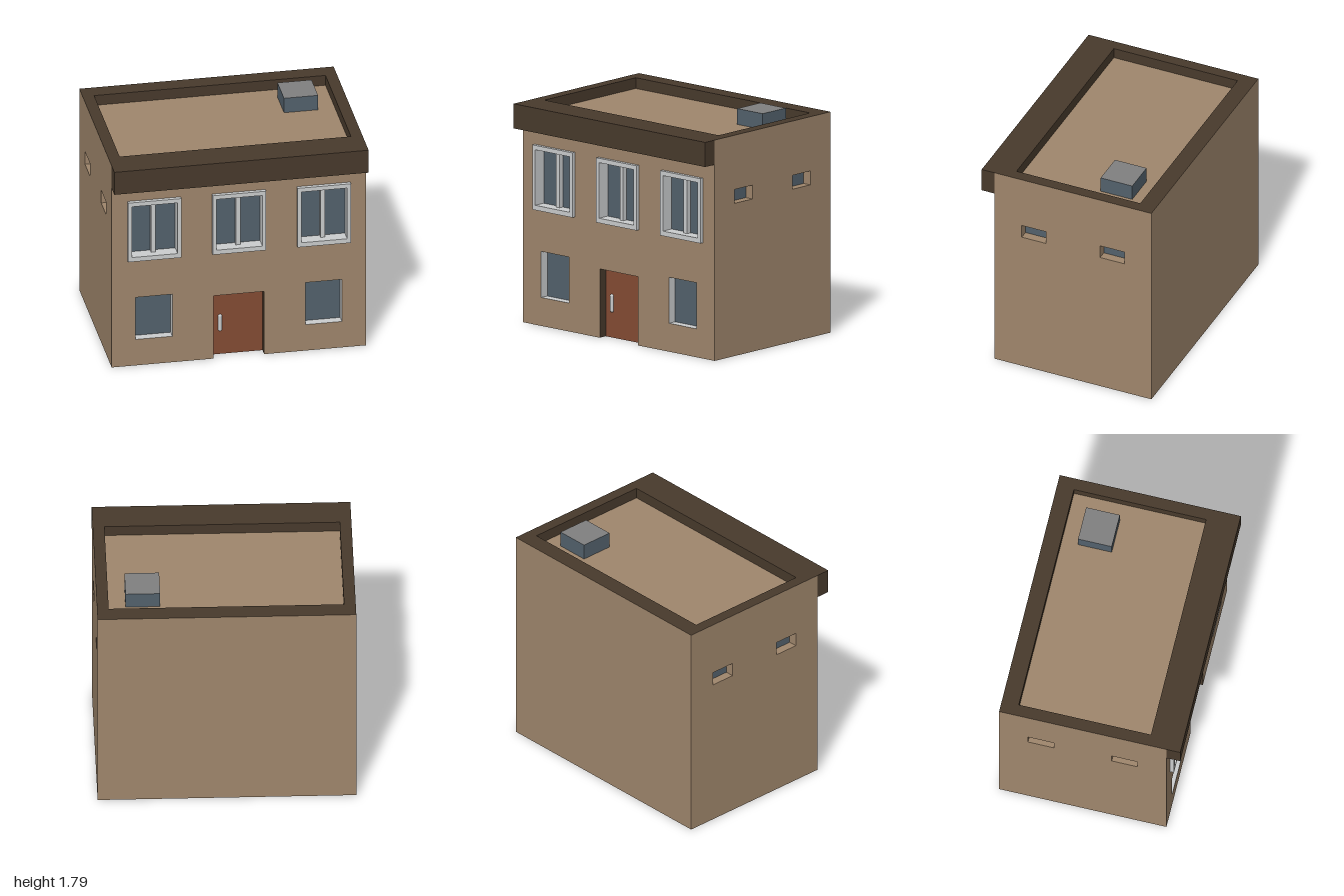
import * as THREE from 'three';

const material = (name, color) => {
  const m = new THREE.MeshStandardMaterial({ color, side: THREE.DoubleSide });
  m.name = name;
  return m;
};

// Rectangles are [x0, y0, x1, y1]
const trace = (path, [x0, y0, x1, y1]) => {
  path.moveTo(x0, y0);
  path.lineTo(x1, y0);
  path.lineTo(x1, y1);
  path.lineTo(x0, y1);
  path.closePath();
  return path;
};
const rectShape = (rect, holes = []) => {
  const shape = trace(new THREE.Shape(), rect);
  holes.forEach((h) => shape.holes.push(trace(new THREE.Path(), h)));
  return shape;
};
const panel = (rect, holes) => new THREE.ShapeGeometry(rectShape(rect, holes));

// Square sleeve lining an opening, from z = -depth to 0; three sides leave the bottom open
const sleeve = ([x0, y0, x1, y1], depth, sides = 4) => {
  const r = Math.SQRT1_2;
  const g = new THREE.CylinderGeometry(r, r, 1, sides, 1, true, Math.PI / 4, sides * Math.PI / 2)
    .rotateX(Math.PI / 2)
    .scale(x1 - x0, y1 - y0, depth)
    .translate((x0 + x1) / 2, (y0 + y1) / 2, -depth / 2)
    .toNonIndexed();
  g.computeVertexNormals();
  return g;
};

export function createModel() {
  const model = new THREE.Group();
  model.name = 'house';

  const wall = material('wall tan', 0x9f866c);
  const dark = material('dark brown trim', 0x483a2c);
  const glass = material('blue grey glass', 0x53616c);
  const wood = material('door brown', 0x844b33);
  const white = material('light grey frame', 0xcbcdce);
  const grey = material('skylight grey', 0x808080);

  const add = (parent, name, geometry, mat, x = 0, y = 0, z = 0) => {
    const mesh = new THREE.Mesh(geometry, mat);
    mesh.name = name;
    mesh.position.set(x, y, z);
    parent.add(mesh);
    return mesh;
  };

  const H = 1.75, FRONT = 0.61, BACK = -0.72, DEPTH = 0.07, ROOF = 1.665;
  const door = [-0.2, 0, 0.2, 0.545];
  const lower = [-1, 1].map((s) => [s * 0.667 - 0.144, 0.225, s * 0.667 + 0.144, 0.59]);
  const upper = [-1, 0, 1].map((s) => [s * 0.667 - 0.18, 0.955, s * 0.667 + 0.18, 1.395]);

  // Front wall, notched at the foot for the door
  const frontShape = new THREE.Shape([
    [-1, 0], [door[0], 0], [door[0], door[3]], [door[2], door[3]],
    [door[2], 0], [1, 0], [1, H], [-1, H],
  ].map(([x, y]) => new THREE.Vector2(x, y)));
  [...lower, ...upper].forEach((r) => frontShape.holes.push(trace(new THREE.Path(), r)));
  add(model, 'frontWall', new THREE.ShapeGeometry(frontShape), wall, 0, 0, FRONT);

  // Back wall
  add(model, 'backWall', panel([-1, 0, 1, H]), wall, 0, 0, BACK).rotation.y = Math.PI;

  // Side walls with two small recessed windows each
  for (const s of [-1, 1]) {
    const side = new THREE.Group();
    side.name = s > 0 ? 'leftSide' : 'rightSide';
    side.position.x = s;
    side.rotation.y = s * Math.PI / 2;
    model.add(side);
    const rect = (z0, y0, z1, y1) => (s > 0 ? [-z1, y0, -z0, y1] : [z0, y0, z1, y1]);
    const slots = [rect(0.175, 1.21, 0.38, 1.32), rect(-0.49, 1.21, -0.285, 1.32)];
    add(side, 'sideWall', panel(rect(BACK, 0, FRONT, H), slots), wall);
    for (const r of slots) {
      add(side, 'slotReveal', sleeve(r, DEPTH), wall);
      add(side, 'slotGlass', panel(r), glass, 0, 0, -DEPTH);
    }
  }

  // Door, its reveal and handle
  add(model, 'doorReveal', sleeve(door, DEPTH, 3), dark, 0, 0, FRONT);
  add(model, 'door', panel(door), wood, 0, 0, FRONT - DEPTH);
  add(model, 'doorHandle', new THREE.CapsuleGeometry(0.016, 0.113, 6, 16), white,
    -0.135, 0.272, FRONT - DEPTH);

  // Windows on the front
  for (const r of [...lower, ...upper]) {
    add(model, 'windowReveal', sleeve(r, DEPTH), white, 0, 0, FRONT);
    add(model, 'windowGlass', panel(r), glass, 0, 0, FRONT - DEPTH);
  }

  // Raised frames and mullions of the upper windows
  for (const r of upper) {
    const [x0, y0, x1, y1] = r;
    const frame = rectShape([x0 - 0.03, y0 - 0.038, x1 + 0.03, y1 + 0.035], [r]);
    add(model, 'windowFrame',
      new THREE.ExtrudeGeometry(frame, { depth: 0.03, bevelEnabled: false }), white, 0, 0, FRONT);
    add(model, 'mullion', new THREE.BoxGeometry(0.036, y1 - y0, 0.04), white,
      (x0 + x1) / 2, (y0 + y1) / 2, FRONT - DEPTH + 0.02);
  }

  // Parapet rim, its inner faces, the sunken roof and the front cornice
  const well = [-0.91, -0.465, 0.91, 0.585];
  const flat = (name, geometry, mat, y) => add(model, name, geometry.rotateX(-Math.PI / 2), mat, 0, y, 0);
  flat('parapetRim', panel([-1, -FRONT, 1, -BACK], [well]), dark, H);
  flat('parapetInside', sleeve(well, H - ROOF), dark, H);
  flat('roof', panel(well), wall, ROOF);
  add(model, 'cornice', new THREE.BoxGeometry(2, 0.195, 0.11), dark, 0, H - 0.0975, FRONT + 0.055);

  // Skylight box with a grey lid
  const lid = [grey, grey, grey, grey, grey, grey].map((m, i) => (i === 2 ? m : glass));
  add(model, 'skylight', new THREE.BoxGeometry(0.268, 0.125, 0.268), lid, 0.642, ROOF + 0.0625, -0.322);

  return model;
}
